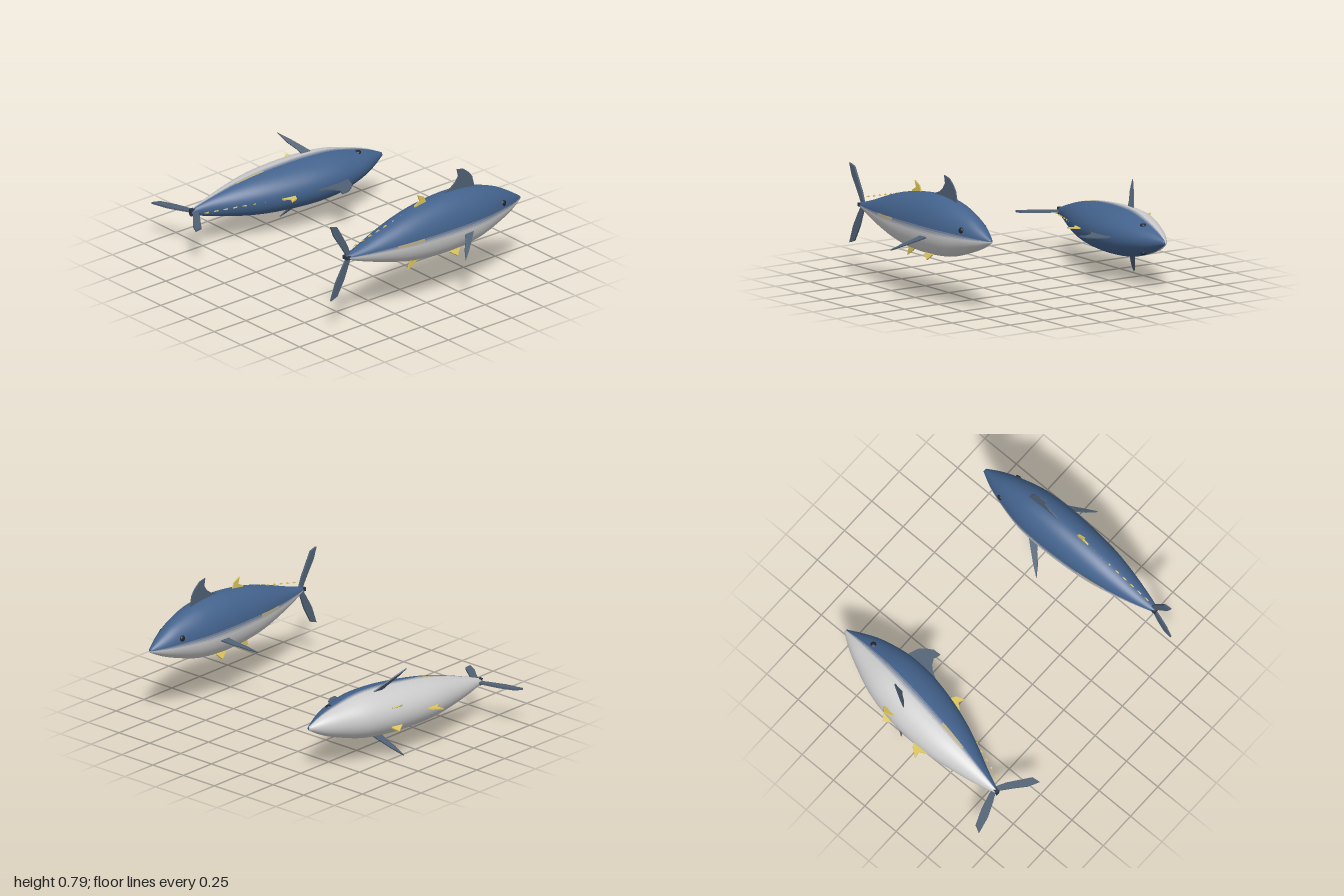
import * as THREE from 'three';

const BLUE = 0x43628c, BELLY = 0xcccccc, FIN = 0x506174, YELLOW = 0xdcc45c, DARK = 0x2a3442;
const mat = (color) => new THREE.MeshStandardMaterial({ color });
const blend = (a, b, t) => new THREE.Color(a).lerp(new THREE.Color(b), t);

// Body stations, measured from the body axis
const X = [-0.61, -0.48, -0.315, -0.155, 0.02, 0.2, 0.38, 0.55, 0.66, 0.755];
const TOP = [0.012, 0.05, 0.108, 0.155, 0.187, 0.2, 0.184, 0.132, 0.074, 0.011];
const BOTTOM = [0.012, 0.06, 0.11, 0.15, 0.171, 0.173, 0.153, 0.102, 0.06, 0.012];
const SIDE = [0.018, 0.058, 0.1, 0.128, 0.143, 0.148, 0.137, 0.097, 0.06, 0.012];
const spline = (ys) => new THREE.SplineCurve(X.map((x, i) => new THREE.Vector2(x, ys[i])));

function createBody() {
  const group = new THREE.Group();
  group.name = 'body';
  const rings = 54, around = 96;
  const top = spline(TOP), bottom = spline(BOTTOM), side = spline(SIDE);
  const positions = [], xs = [];
  // Elliptical rings, with a collapsed ring closing each end
  for (let i = -1; i <= rings + 1; i++) {
    const t = Math.min(Math.max(i / rings, 0), 1);
    const open = i >= 0 && i <= rings ? 1 : 0;
    const p = top.getPoint(t), low = bottom.getPoint(t).y, half = side.getPoint(t).y;
    xs.push(p.x);
    for (let j = 0; j < around; j++) {
      const a = (j / around) * Math.PI * 2, s = Math.sin(a);
      positions.push(p.x, s * (s > 0 ? p.y : low) * open, Math.cos(a) * half * open);
    }
  }
  // Sort faces into colour bands that share one set of smooth normals
  const bands = {
    back: { color: BLUE, index: [] },
    upperFlank: { color: blend(BLUE, BELLY, 0.2), index: [] },
    middleFlank: { color: blend(BLUE, BELLY, 0.45), index: [] },
    lowerFlank: { color: blend(BLUE, BELLY, 0.75), index: [] },
    flankStripe: { color: blend(YELLOW, 0x8890a0, 0.5), index: [] },
    belly: { color: BELLY, index: [] },
  };
  const all = [];
  for (let i = 0; i < rings + 2; i++) {
    for (let j = 0; j < around; j++) {
      const k = (j + 1) % around;
      const a = i * around + j, b = a + around, c = (i + 1) * around + k, d = i * around + k;
      const level = Math.sin(((j + 0.5) / around) * Math.PI * 2);
      let name = 'belly';
      if (level > 0.14) name = 'back';
      else if (level > 0.08) name = 'upperFlank';
      else if (level > 0) name = 'middleFlank';
      else if (level > -0.08) name = 'lowerFlank';
      if (level > 0 && level < 0.14 && xs[i] > -0.3 && xs[i] < -0.12) name = 'flankStripe';
      const faces = [a, b, c, a, c, d];
      all.push(...faces);
      bands[name].index.push(...faces);
    }
  }
  const full = new THREE.BufferGeometry();
  full.setAttribute('position', new THREE.Float32BufferAttribute(positions, 3));
  full.setIndex(all);
  full.computeVertexNormals();
  for (const [name, { color, index }] of Object.entries(bands)) {
    const g = new THREE.BufferGeometry();
    g.setAttribute('position', full.attributes.position);
    g.setAttribute('normal', full.attributes.normal);
    g.setIndex(index);
    const mesh = new THREE.Mesh(g, mat(color));
    mesh.name = name;
    group.add(mesh);
  }
  return group;
}

// Flat fin cut from an outline in the x-y plane
function fin(name, points, color, thickness = 0.008) {
  const shape = new THREE.Shape(points.map(([x, y]) => new THREE.Vector2(x, y)));
  const g = new THREE.ExtrudeGeometry(shape, { depth: thickness, bevelEnabled: false });
  g.translate(0, 0, -thickness / 2);
  const mesh = new THREE.Mesh(g, mat(color));
  mesh.name = name;
  return mesh;
}

function createFish(name) {
  const fish = new THREE.Group();
  fish.name = name;
  fish.add(createBody());

  // Fins on the centre line
  fish.add(fin('dorsalFin', [[0.17, 0.17], [0.17, 0.203], [0.215, 0.22], [0.25, 0.245], [0.275, 0.28],
    [0.265, 0.327], [0.315, 0.317], [0.355, 0.285], [0.382, 0.25], [0.4, 0.18], [0.38, 0.15]], FIN));
  fish.add(fin('secondDorsalFin', [[-0.07, 0.15], [-0.07, 0.182], [-0.03, 0.205], [-0.045, 0.246],
    [0.005, 0.222], [0.022, 0.18], [0.02, 0.15]], YELLOW));
  fish.add(fin('analFin', [[-0.15, -0.12], [-0.155, -0.15], [-0.108, -0.182], [-0.122, -0.226],
    [-0.06, -0.19], [-0.038, -0.16], [-0.04, -0.12]], YELLOW));
  fish.add(fin('tailFin', [[-0.57, 0], [-0.6, 0.08], [-0.68, 0.222], [-0.73, 0.236], [-0.705, 0.165],
    [-0.655, 0.09], [-0.6, 0], [-0.64, -0.06], [-0.69, -0.145], [-0.73, -0.254], [-0.68, -0.236],
    [-0.625, -0.14]], FIN, 0.012));

  // Tail root
  const root = new THREE.Mesh(new THREE.BoxGeometry(0.045, 0.022, 0.044), mat(DARK));
  root.name = 'tailRoot';
  root.position.set(-0.595, 0, 0);
  fish.add(root);

  // Finlets along the rear of the back
  for (let i = 0; i < 8; i++) {
    const x = -0.55 + i * 0.059, y = 0.056 + i * 0.0137;
    fish.add(fin('finlet', [[x, y], [x + 0.03, y + 0.004], [x + 0.02, y + 0.012]], YELLOW, 0.006));
  }

  // Paired fins and eyes
  for (const s of [1, -1]) {
    const which = s > 0 ? 'left' : 'right';
    const pectoral = fin(which + 'PectoralFin', [[0.29, -0.03], [0.275, 0.005], [0.235, 0.045], [0.165, 0.112],
      [0.1, 0.168], [0.14, 0.098], [0.19, 0.038], [0.23, -0.03]], FIN);
    pectoral.rotation.x = s * 2.153;
    pectoral.position.set(0, -0.037, s * 0.14);
    const pelvic = fin(which + 'PelvicFin', [[0.15, 0.005], [0.16, -0.03], [0.22, -0.03], [0.232, 0.005],
      [0.2, 0.043]], YELLOW);
    pelvic.rotation.x = s * 2.62;
    pelvic.position.set(0, -0.158, s * 0.062);
    const eye = new THREE.Mesh(new THREE.SphereGeometry(0.02, 20, 14), mat(0x20262e));
    eye.name = which + 'Eye';
    eye.scale.z = 0.6;
    eye.position.set(0.56, 0.045, s * 0.084);
    fish.add(pectoral, pelvic, eye);
  }
  return fish;
}

export function createModel() {
  const model = new THREE.Group();
  model.name = 'fishPair';

  // Upright fish in front
  const upright = createFish('uprightFish');
  upright.position.set(0, 0.47, 0.718);

  // Fish lying on its side behind, slightly turned
  const lying = createFish('lyingFish');
  lying.rotation.set(Math.PI / 2, -0.124, 0.036, 'YZX');
  lying.position.set(0, 0.283, -0.657);

  model.add(upright, lying);
  return model;
}
